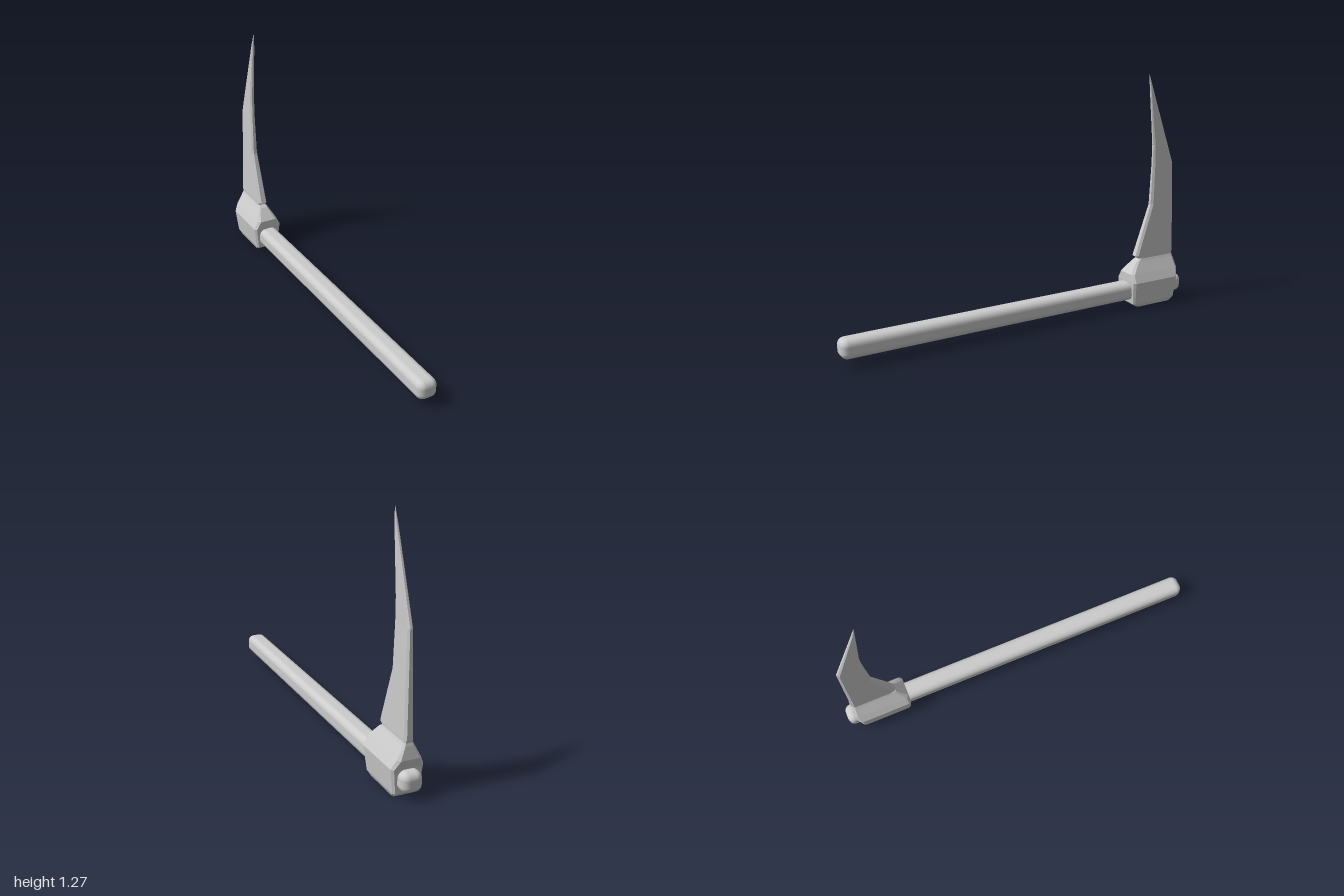
import * as THREE from 'three';
import { RoundedBoxGeometry } from 'three/addons/geometries/RoundedBoxGeometry.js';

// Loft chamfered rectangles stacked along y.
// Each section: [y, half width, front z, back z, chamfer in x, chamfer in z]
function loftSections(sections) {
  const rings = sections.map(([y, w, f, b, cx, cz]) => [
    [w - cx, y, f], [w, y, f - cz], [w, y, b + cz], [w - cx, y, b],
    [cx - w, y, b], [-w, y, b + cz], [-w, y, f - cz], [cx - w, y, f],
  ]);
  const positions = [];
  const tri = (a, b, c) => positions.push(...a, ...b, ...c);
  for (let i = 0; i < rings.length - 1; i++) {
    for (let j = 0; j < 8; j++) {
      const k = (j + 1) % 8;
      const [a, b, c, d] = [rings[i][j], rings[i][k], rings[i + 1][k], rings[i + 1][j]];
      tri(a, b, c);
      tri(a, c, d);
    }
  }
  // end caps
  const bottom = rings[0], top = rings[rings.length - 1];
  for (let j = 1; j < 7; j++) {
    tri(bottom[0], bottom[j + 1], bottom[j]);
    tri(top[0], top[j], top[j + 1]);
  }
  const geometry = new THREE.BufferGeometry();
  geometry.setAttribute('position', new THREE.Float32BufferAttribute(positions, 3));
  geometry.computeVertexNormals();
  return geometry;
}

export function createModel() {
  const group = new THREE.Group();
  const smooth = new THREE.MeshStandardMaterial({ color: 0xcccccc });
  const faceted = new THREE.MeshStandardMaterial({ color: 0xcccccc, flatShading: true });

  const add = (name, geometry, material) => {
    const mesh = new THREE.Mesh(geometry, material);
    mesh.name = name;
    group.add(mesh);
    return mesh;
  };

  // long shaft with rounded ends, passing through the head
  add('handle', new RoundedBoxGeometry(0.104, 0.1, 2, 3, 0.035), smooth).position.y = 0.09;

  // chunky socket that narrows to the neck of the blade
  add('headSocket', loftSections([
    [0.0, 0.056, -0.69, -0.912, 0.006, 0.008],
    [0.022, 0.066, -0.66, -0.936, 0.008, 0.012],
    [0.145, 0.081, -0.65, -0.945, 0.010, 0.014],
    [0.19, 0.060, -0.65, -0.96, 0.014, 0.016],
    [0.25, 0.029, -0.703, -0.949, 0.008, 0.012],
    [0.264, 0.023, -0.726, -0.945, 0.006, 0.010],
    [0.282, 0.022, -0.715, -0.947, 0.006, 0.010],
  ]), faceted);

  // tall tapering blade, leaning forward at the tip
  add('blade', loftSections([
    [0.262, 0.022, -0.726, -0.944, 0.008, 0.015],
    [0.28, 0.023, -0.70, -0.95, 0.009, 0.015],
    [0.56, 0.017, -0.795, -0.942, 0.008, 0.014],
    [0.78, 0.013, -0.803, -0.935, 0.007, 0.012],
    [0.89, 0.012, -0.803, -0.897, 0.007, 0.010],
    [1.2, 0.007, -0.772, -0.789, 0.004, 0.004],
    [1.27, 0.001, -0.765, -0.767, 0.0005, 0.0005],
  ]), faceted);

  return group;
}
